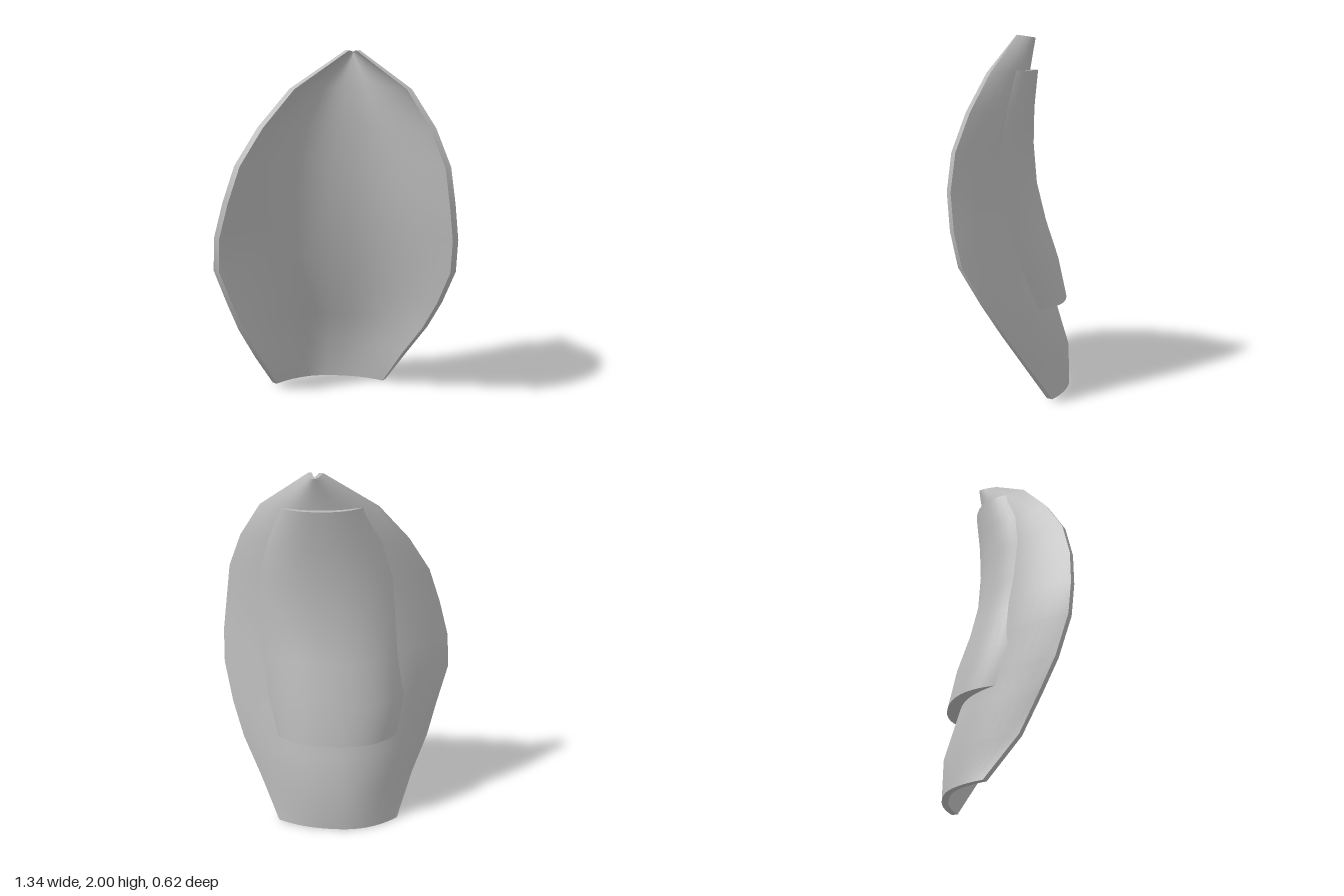
import * as THREE from 'three';

// Stations up the shell: y, right edge x, left edge x, right edge z, left edge z, spine z, thickness
const stations = [
  [0.00, -0.395, 0.290, -0.120, -0.200, -0.310, 0.035],
  [0.22, -0.477, 0.410, 0.050, -0.070, -0.304, 0.040],
  [0.42, -0.560, 0.525, 0.140, 0.040, -0.245, 0.040],
  [0.60, -0.612, 0.600, 0.217, 0.140, -0.192, 0.040],
  [0.81, -0.674, 0.663, 0.276, 0.250, -0.145, 0.040],
  [1.00, -0.665, 0.668, 0.297, 0.290, -0.110, 0.040],
  [1.20, -0.612, 0.647, 0.308, 0.308, -0.085, 0.040],
  [1.40, -0.546, 0.620, 0.286, 0.286, -0.073, 0.040],
  [1.60, -0.424, 0.540, 0.220, 0.220, -0.072, 0.040],
  [1.80, -0.255, 0.410, 0.127, 0.127, -0.082, 0.036],
  [2.00, 0.045, 0.127, 0.010, 0.010, -0.115, 0.022],
];

// Linear interpolation in a table keyed by its first column
function lookup(table, y) {
  let k = 0;
  while (k < table.length - 2 && y > table[k + 1][0]) k++;
  const t = (y - table[k][0]) / (table[k + 1][0] - table[k][0]);
  return table[k].map((a, i) => a + (table[k + 1][i] - a) * t);
}

// Point on the shell: u runs -1..1 across; depth 0 = back, 1 = front; extra pushes it backwards
function shellPoint(u, y, depth, extra = 0) {
  const [, xr, xl, zr, zl, spine, thick] = lookup(stations, y);
  const half = (xl - xr) / 2, power = 2.3;
  const rise = (u < 0 ? zr : zl) - 0.025 - spine;
  const slope = rise * power * Math.abs(u) ** (power - 1) * Math.sign(u);
  const len = Math.hypot(half, slope);
  const move = depth * thick - extra;
  const dip = y > 1.9 ? 0.15 * (y - 1.9) * (1 - u * u) : 0;
  return [
    (xl + xr) / 2 + half * u - (slope / len) * move,
    y - dip,
    spine + rise * Math.abs(u) ** power + (half / len) * move,
  ];
}

// Smooth grid of points; a runs sideways, b upwards, front is a x b
function grid(as, bs, point, flip = false) {
  const pos = [], index = [], n = as.length;
  for (const b of bs) for (const a of as) pos.push(...point(a, b));
  for (let j = 0; j < bs.length - 1; j++) {
    for (let i = 0; i < n - 1; i++) {
      const p = j * n + i, q = p + 1, r = p + n, s = r + 1;
      if (flip) index.push(p, r, q, q, r, s);
      else index.push(p, q, r, q, s, r);
    }
  }
  const g = new THREE.BufferGeometry();
  g.setAttribute('position', new THREE.Float32BufferAttribute(pos, 3));
  g.setIndex(index);
  g.computeVertexNormals();
  return g;
}

const steps = (from, to, n) => Array.from({ length: n + 1 }, (_, i) => from + ((to - from) * i) / n);

export function createModel() {
  const grey = new THREE.MeshStandardMaterial({ color: 0xb8b8b8, side: THREE.DoubleSide });
  grey.name = 'grey';
  const model = new THREE.Group();
  const add = (name, geometry) => {
    const mesh = new THREE.Mesh(geometry, grey);
    mesh.name = name;
    model.add(mesh);
  };

  // Curved shell with its four rims
  const across = steps(-1, 1, 28), ys = stations.map((s) => s[0]);
  add('shellFront', grid(across, ys, (u, y) => shellPoint(u, y, 1)));
  add('shellBack', grid(across, ys, (u, y) => shellPoint(u, y, 0), true));
  add('rightRim', grid([0, 1], ys, (d, y) => shellPoint(-1, y, d)));
  add('leftRim', grid([1, 0], ys, (d, y) => shellPoint(1, y, d)));
  add('bottomRim', grid(across, [0, 1], (u, d) => shellPoint(u, 0, d)));
  add('topRim', grid(across, [1, 0], (u, d) => shellPoint(u, 2, d)));

  // Raised back panel: y, right edge x, left edge x, height above the shell
  const panel = [
    [0.51, -0.38, 0.30, 0.072],
    [0.73, -0.42, 0.36, 0.080],
    [0.95, -0.38, 0.40, 0.052],
    [1.17, -0.36, 0.42, 0.030],
    [1.40, -0.34, 0.41, 0.028],
    [1.60, -0.28, 0.36, 0.034],
    [1.81, -0.17, 0.28, 0.044],
  ];
  const panelPoint = (v, y, lift) => {
    const [, xr, xl, height] = lookup(panel, y);
    const [, sr, sl] = lookup(stations, y);
    const x = (xr + xl) / 2 + ((xl - xr) / 2) * v;
    const u = (2 * x - sr - sl) / (sl - sr);
    return shellPoint(u, y, 0, lift * (height * (1 - Math.abs(v) ** 3) + 0.004) - 0.004);
  };
  const panelAcross = steps(-1, 1, 20), panelYs = panel.map((p) => p[0]);
  add('backPanel', grid(panelAcross, panelYs, (v, y) => panelPoint(v, y, 1), true));
  add('backPanelBottom', grid(panelAcross, [1, 0], (v, l) => panelPoint(v, 0.51, l)));
  add('backPanelTop', grid(panelAcross, [0, 1], (v, l) => panelPoint(v, 1.81, l)));

  // Centre the model on its footprint and stand it on the ground
  const box = new THREE.Box3().setFromObject(model);
  const centre = box.getCenter(new THREE.Vector3());
  for (const part of model.children) part.geometry.translate(-centre.x, -box.min.y, -centre.z);
  return model;
}
